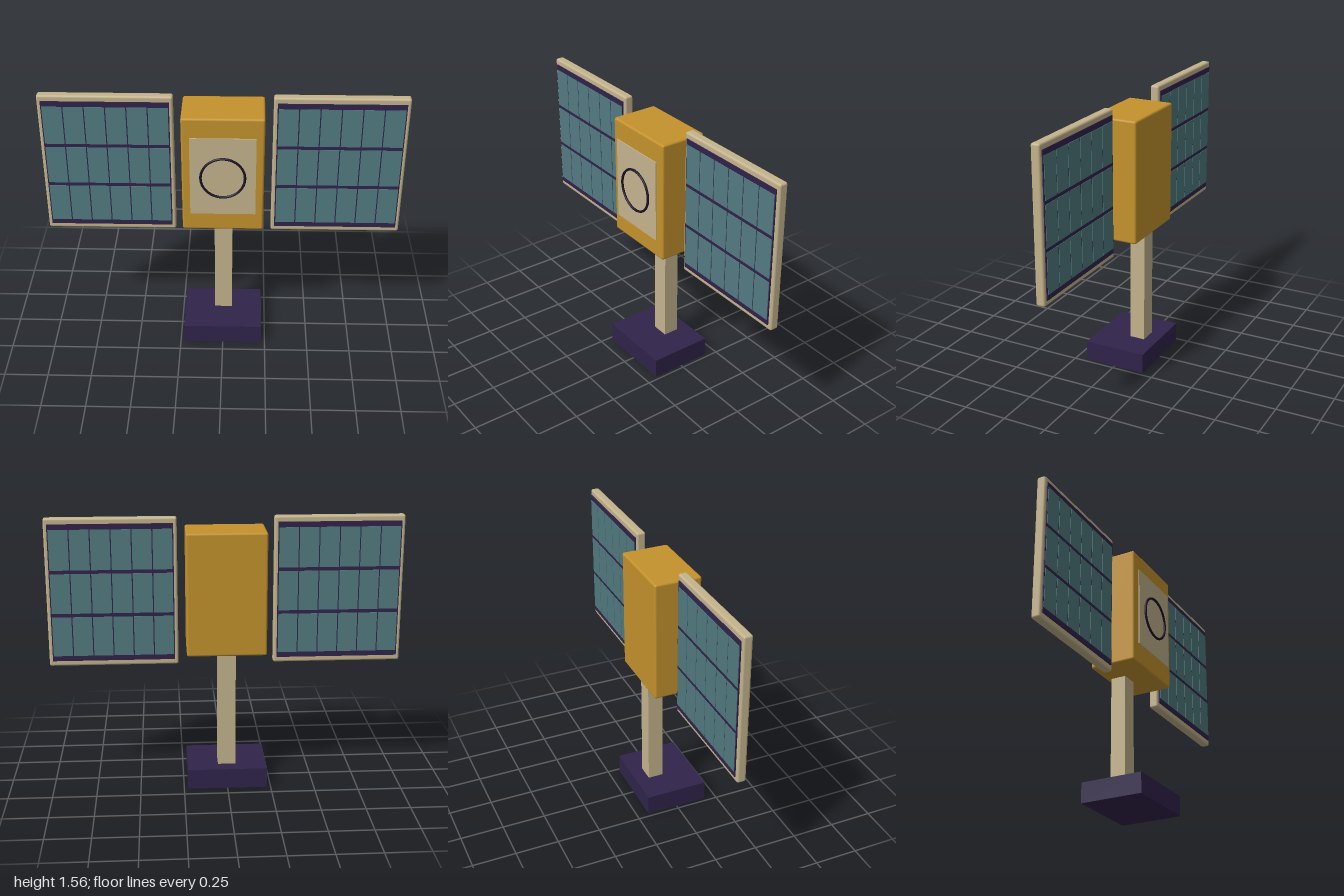
import * as THREE from 'three';
import { RoundedBoxGeometry } from 'three/addons/geometries/RoundedBoxGeometry.js';

const mat = (name, color) => {
  const m = new THREE.MeshStandardMaterial({ color });
  m.name = name;
  return m;
};

export function createModel() {
  const gold = mat('gold', 0xc4922d);
  const beige = mat('beige', 0xc4b48d);
  const teal = mat('teal', 0x527b81);
  const purple = mat('dark purple', 0x30234a);
  const black = mat('near black', 0x1a1328);

  const model = new THREE.Group();
  model.name = 'satellite';

  const add = (parent, name, geometry, material, x, y, z) => {
    const mesh = new THREE.Mesh(geometry, material);
    mesh.name = name;
    mesh.position.set(x, y, z);
    parent.add(mesh);
    return mesh;
  };
  const box = (w, h, d) => new THREE.BoxGeometry(w, h, d);

  // Stand
  add(model, 'base', box(0.455, 0.117, 0.364), purple, 0, 0.0585, 0);
  add(model, 'post', box(0.102, 0.72, 0.09), beige, 0, 0.46, -0.058);

  // Main body with its front plate and ring
  add(model, 'body', new RoundedBoxGeometry(0.45, 0.7, 0.272, 2, 0.012), gold, 0, 1.135, 0);
  add(model, 'frontPlate', box(0.36, 0.476, 0.006), beige, 0, 1.136, 0.146);
  add(model, 'frontRing', new THREE.TorusGeometry(0.121, 0.007, 8, 48), black, 0, 1.134, 0.158);

  // Solar panels: frame, dark backing and a 6 x 3 grid of cells on both faces
  const cols = 6, rows = 3;
  const pitchX = 0.114, pitchY = 0.2475;
  const cell = box(0.108, 0.227, 0.003);
  for (const side of [-1, 1]) {
    const panel = new THREE.Group();
    panel.name = side > 0 ? 'leftPanel' : 'rightPanel';
    panel.position.set(side * 0.635, 1.133, 0);
    model.add(panel);

    add(panel, 'panelFrame', new RoundedBoxGeometry(0.73, 0.846, 0.052, 2, 0.012), beige, 0, 0, 0);
    add(panel, 'panelBacking', box(0.69, 0.782, 0.064), purple, 0, 0, 0);
    for (const face of [-1, 1])
      for (let c = 0; c < cols; c++)
        for (let r = 0; r < rows; r++)
          add(panel, 'solarCell', cell, teal,
            (c - (cols - 1) / 2) * pitchX, (r - (rows - 1) / 2) * pitchY, face * 0.033);
  }
  return model;
}
